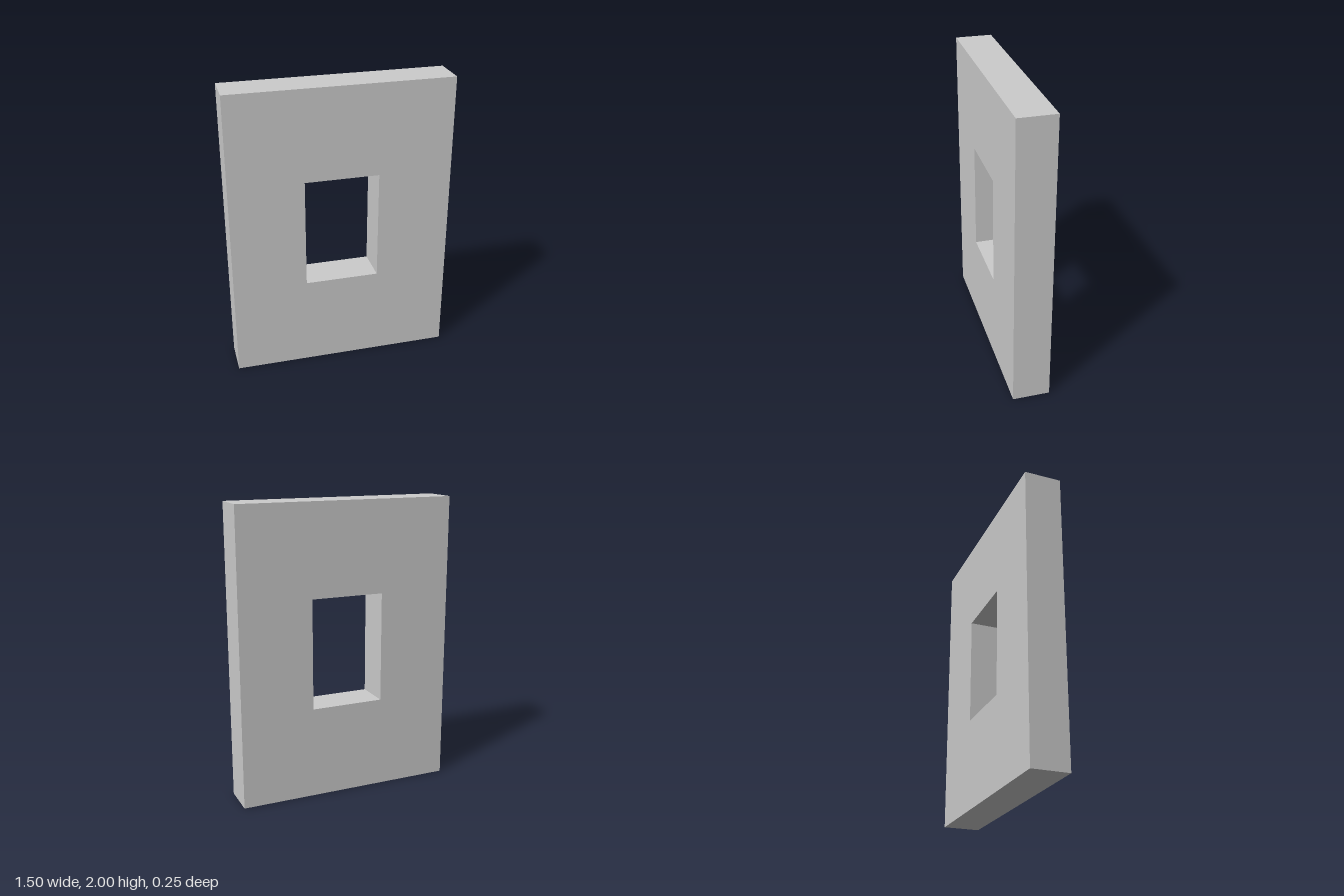
import * as THREE from 'three';

const WIDTH = 1.5, HEIGHT = 2, DEPTH = 0.25;
const HOLE_WIDTH = 0.5, HOLE_BOTTOM = 0.625, HOLE_TOP = 1.375;

// Corners of a rectangle centred on x = 0
function rectangle(width, bottom, top) {
  const h = width / 2;
  return [[-h, bottom], [h, bottom], [h, top], [-h, top]].map(([x, y]) => new THREE.Vector2(x, y));
}

export function createModel() {
  const group = new THREE.Group();
  group.name = 'windowWall';

  // Wall slab with a rectangular window opening through it
  const outline = new THREE.Shape(rectangle(WIDTH, 0, HEIGHT));
  outline.holes.push(new THREE.Path(rectangle(HOLE_WIDTH, HOLE_BOTTOM, HOLE_TOP)));
  const geometry = new THREE.ExtrudeGeometry(outline, { depth: DEPTH, bevelEnabled: false });
  geometry.translate(0, 0, -DEPTH / 2);

  const wall = new THREE.Mesh(geometry, new THREE.MeshStandardMaterial({ color: 0xcccccc, flatShading: true }));
  wall.name = 'wall';
  group.add(wall);
  return group;
}
